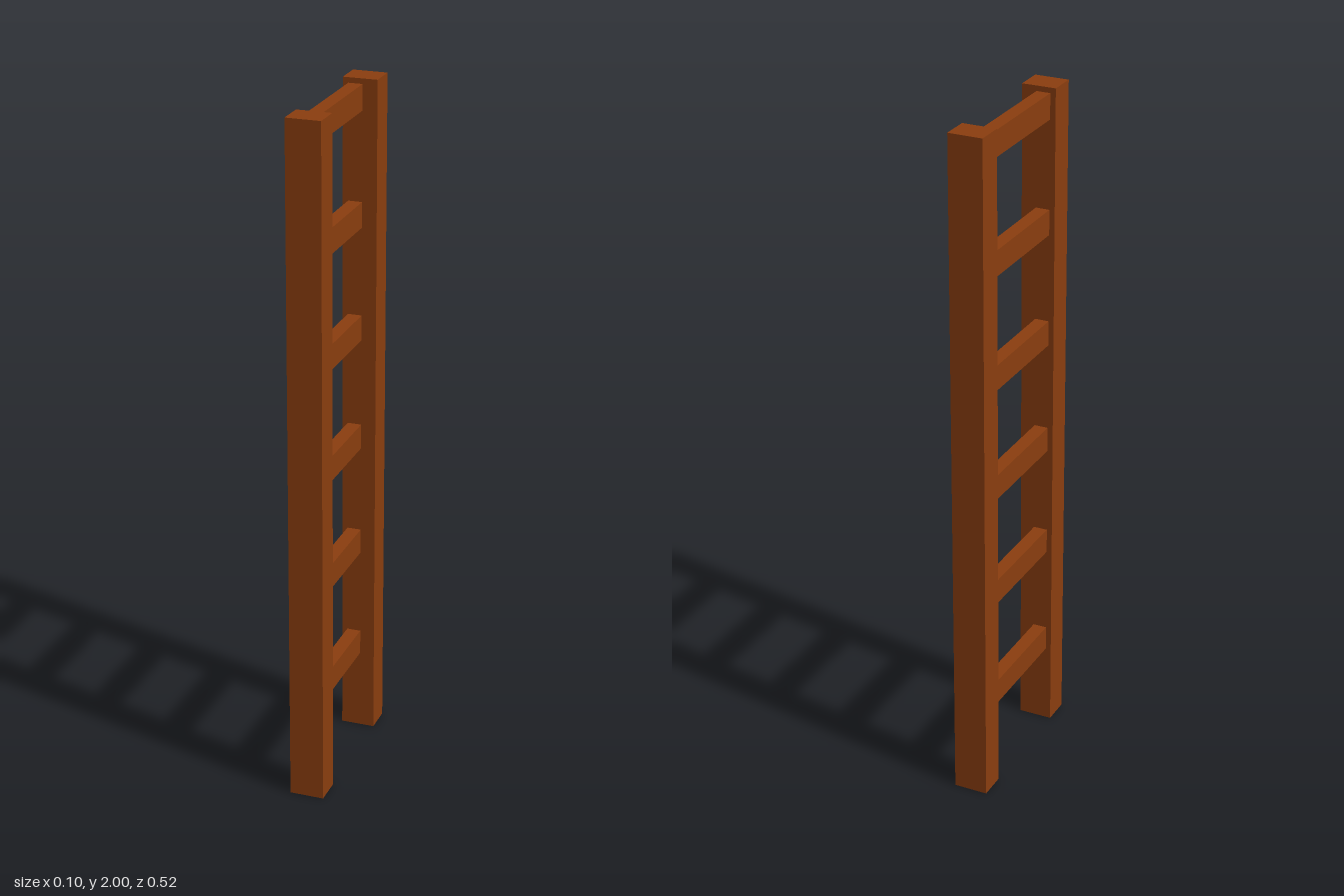
import * as THREE from 'three';

export function createModel() {
  const model = new THREE.Group();
  model.name = 'ladder';
  const wood = new THREE.MeshStandardMaterial({ color: 0x8b3e0f, flatShading: true });

  const addBeam = (name, [w, h, d], [x, y, z]) => {
    const beam = new THREE.Mesh(new THREE.BoxGeometry(w, h, d), wood);
    beam.name = name;
    beam.position.set(x, y, z);
    model.add(beam);
  };

  // Two upright side rails
  const railDepth = 0.083, railZ = 0.2195;
  addBeam('frontRail', [0.1, 2, railDepth], [0, 1, railZ]);
  addBeam('backRail', [0.1, 2, railDepth], [0, 1, -railZ]);

  // Six evenly spaced rungs, set slightly off the rail centreline
  const rungLength = 2 * railZ - railDepth;
  for (let i = 0; i < 6; i++) {
    addBeam(`rung${i + 1}`, [0.041, 0.074, rungLength], [-0.0135, 0.281 + i / 3, 0]);
  }
  return model;
}
